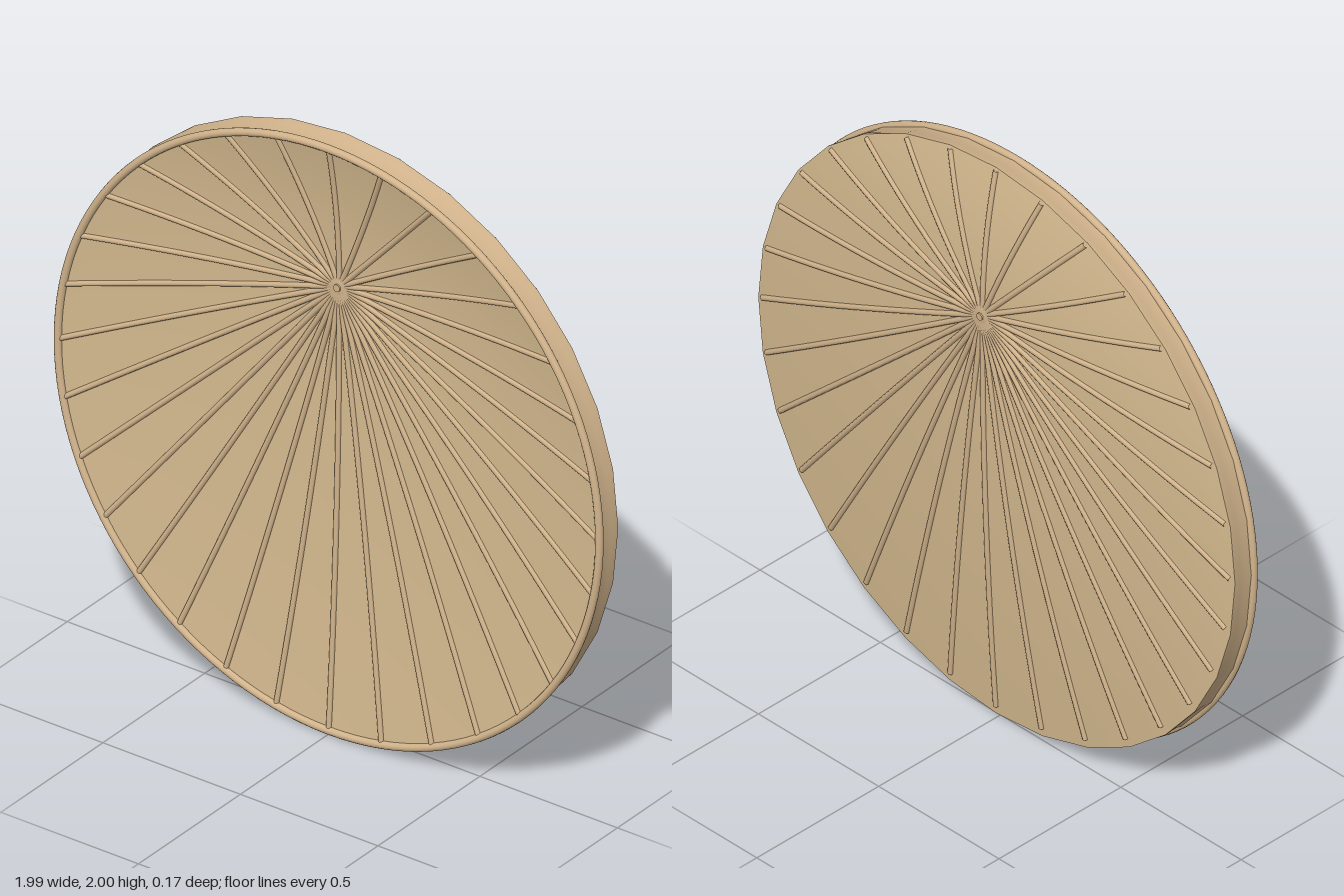
import * as THREE from 'three';

const RIBS = 32;

// The two parallel dished faces: hub depth, rim depth, rim radius and rim centre height
const BACK = { hubZ: -0.073, rimZ: -0.016, r: 0.991, cy: 1.004 };
const FRONT = { hubZ: 0.014, rimZ: 0.066, r: 0.982, cy: 0.996 };
const HUB_Y = 1.49;

// Point on a rim circle (angle measured from the top)
const rimPoint = (i, r, cy, z) => {
  const a = (i / RIBS) * Math.PI * 2;
  return new THREE.Vector3(Math.sin(a) * r, cy + Math.cos(a) * r, z);
};

// Point on a dished face, from the off-centre hub (t = 0) to the rim (t = 1)
const facePoint = (face, i, t) => {
  const p = new THREE.Vector3(0, HUB_Y, 0).lerp(rimPoint(i, face.r, face.cy, 0), t);
  p.z = face.hubZ + (face.rimZ - face.hubZ) * t * t;
  return p;
};

// Closed loops of points joined into a smooth surface
function loft(rows, pointAt) {
  const positions = [], index = [];
  for (let j = 0; j < rows; j++)
    for (let i = 0; i < RIBS; i++) positions.push(...pointAt(i, j).toArray());
  for (let j = 0; j < rows - 1; j++)
    for (let i = 0; i < RIBS; i++) {
      const n = (i + 1) % RIBS;
      const a = j * RIBS + i, b = j * RIBS + n, c = a + RIBS, d = b + RIBS;
      index.push(a, c, b, b, c, d);
    }
  const g = new THREE.BufferGeometry();
  g.setAttribute('position', new THREE.Float32BufferAttribute(positions, 3));
  g.setIndex(index);
  g.computeVertexNormals();
  return g;
}

export function createModel() {
  const model = new THREE.Group();
  const material = (name, color) => {
    const m = new THREE.MeshStandardMaterial({ color, side: THREE.DoubleSide });
    m.name = name;
    return m;
  };
  const cloth = material('cloth', 0xd6bb90);
  const tan = material('tan', 0xd2b48c);
  const add = (geometry, mat, name, parent = model) => {
    const mesh = new THREE.Mesh(geometry, mat);
    mesh.name = name;
    parent.add(mesh);
    return mesh;
  };

  // Each face: dished skin, curved ribs and a hub with a pin
  const buildFace = (face, name, ribEnd) => {
    const group = new THREE.Group();
    group.name = name;
    model.add(group);
    add(loft(17, (i, j) => facePoint(face, i, 0.01 + 0.99 * (j / 16))), cloth, 'skin', group);
    for (let i = 0; i < RIBS; i++) {
      const points = [];
      for (let k = 0; k <= 8; k++) points.push(facePoint(face, i, 0.01 + (ribEnd - 0.01) * (k / 8)));
      add(new THREE.TubeGeometry(new THREE.CatmullRomCurve3(points), 16, 0.009, 8), tan, 'rib', group);
    }
    const disc = add(new THREE.SphereGeometry(0.042, 24, 12), tan, 'hubDisc', group);
    disc.scale.z = 0.25;
    disc.position.set(0, HUB_Y, face.hubZ);
    const pin = add(new THREE.CylinderGeometry(0.012, 0.012, 0.03, 16), tan, 'hubPin', group);
    pin.rotation.x = Math.PI / 2;
    pin.position.copy(disc.position);
  };
  buildFace(BACK, 'backFace', 0.98);
  buildFace(FRONT, 'frontFace', 0.995);

  // Slightly waisted side band: [radius, centre height, z]
  const band = [
    [0.991, 1.004, -0.016], [0.991, 1.003, -0.006], [0.988, 1.001, 0.012],
    [0.986, 0.998, 0.035], [0.987, 0.996, 0.052], [0.986, 0.996, 0.066],
  ];
  add(loft(band.length, (i, j) => rimPoint(i, ...band[j])), tan, 'sideBand');

  // Round front rim
  add(new THREE.TorusGeometry(0.984, 0.0125, 12, 128), tan, 'frontRim').position.set(0, 0.996, 0.067);

  return model;
}
